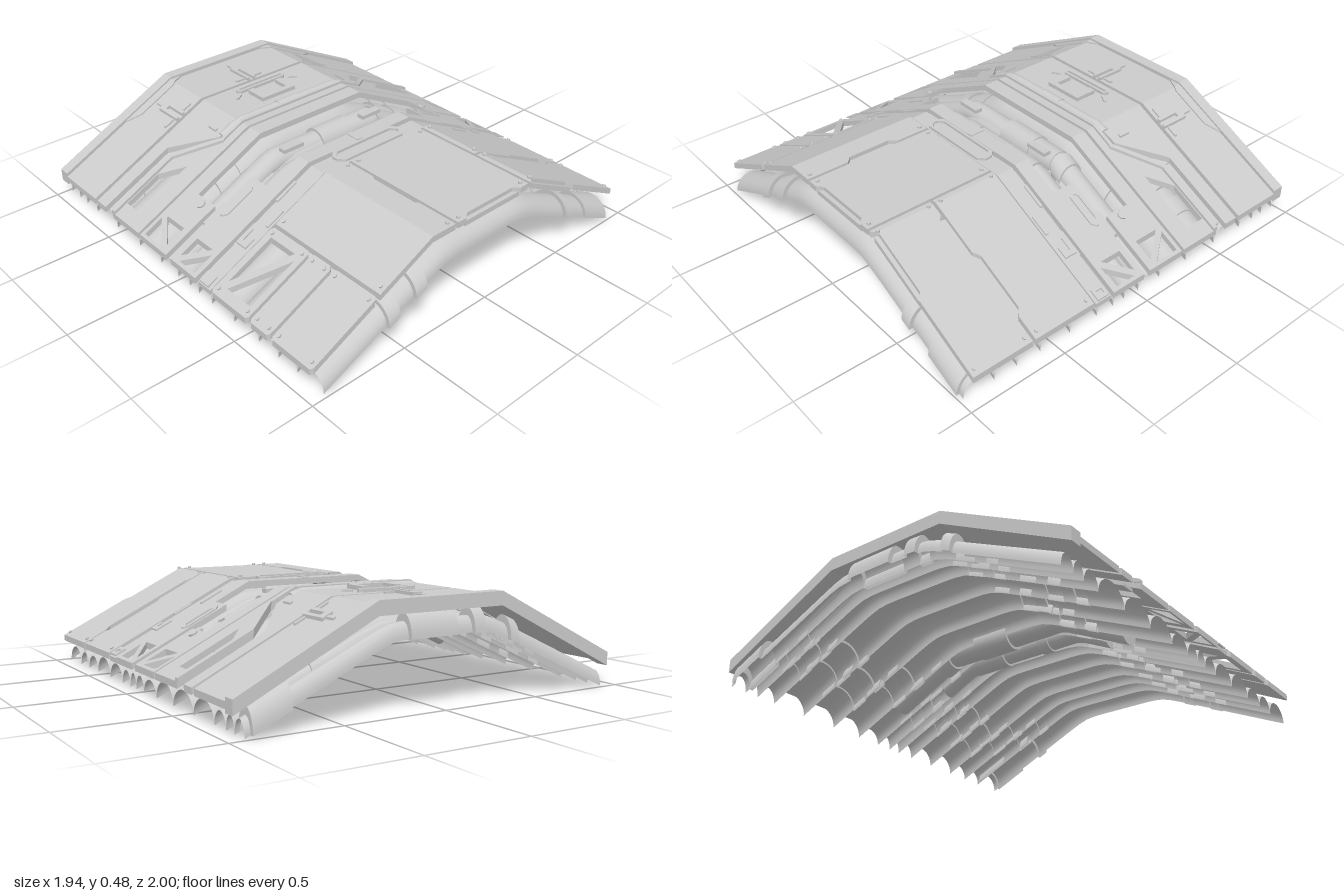
import * as THREE from 'three';
import { toCreasedNormals } from 'three/addons/utils/BufferGeometryUtils.js';

const BEND = 0.32;
const mat = new THREE.MeshStandardMaterial({ color: 0xcccccc, side: THREE.DoubleSide });

// Height of the armour surface and of the duct layer beneath it
const roofY = x => 0.455 - 0.495 * Math.max(0, Math.abs(x) - BEND);
const ductY = x => {
  const t = Math.abs(x) - 0.25;
  return 0.31 - 0.462 * (t + Math.sqrt(t * t + 0.002)) / 2;
};

const rect = (x0, x1, z0, z1) => [[x0, z0], [x1, z0], [x1, z1], [x0, z1]];
const flip = pts => pts.map(([x, z]) => [-x, z]);
const chamfer = (x0, x1, z0, z1, c = 0.012) => [
  [x0 + c, z0], [x1 - c, z0], [x1, z0 + c], [x1, z1 - c],
  [x1 - c, z1], [x0 + c, z1], [x0, z1 - c], [x0, z0 + c]];

// Keep the part of an outline where sign * (x - limit) >= 0
function clip(pts, limit, sign) {
  const out = [];
  pts.forEach((p, i) => {
    const q = pts[(i + 1) % pts.length];
    const a = sign * (p[0] - limit), b = sign * (q[0] - limit);
    if (a >= 0) out.push(p);
    if (a * b < 0) out.push([limit, p[1] + (q[1] - p[1]) * a / (a - b)]);
  });
  return out;
}

export function createModel() {
  const model = new THREE.Group();
  model.name = 'armouredRoof';

  const add = (name, geo, parent = model) => {
    const mesh = new THREE.Mesh(geo, mat);
    mesh.name = name;
    parent.add(mesh);
    return mesh;
  };

  // Plate drawn in x/z, folded over the two roof bends
  function plate(name, pts, holes = [], h0 = -0.03, h1 = 0) {
    const group = new THREE.Group();
    group.name = name;
    for (const [lo, hi] of [[-2, -BEND], [-BEND, BEND], [BEND, 2]]) {
      const part = clip(clip(pts, lo, 1), hi, -1);
      if (part.length < 3) continue;
      const toV = list => list.map(([x, z]) => new THREE.Vector2(x, -z));
      const shape = new THREE.Shape(toV(part));
      for (const h of holes) {
        const cx = h.reduce((s, p) => s + p[0], 0) / h.length;
        if (cx > lo && cx < hi) shape.holes.push(new THREE.Path(toV(h)));
      }
      const geo = new THREE.ExtrudeGeometry(shape, { depth: h1 - h0, bevelEnabled: false });
      geo.rotateX(-Math.PI / 2);
      const p = geo.attributes.position;
      for (let i = 0; i < p.count; i++) p.setY(i, p.getY(i) + h0 + roofY(p.getX(i)));
      geo.computeVertexNormals();
      add(name + 'Section', geo, group);
    }
    model.add(group);
  }
  const raised = (name, pts, h = 0.012, holes = []) => plate(name, pts, holes, -0.004, h);
  const both = (fn, name, pts, ...rest) => { fn(name, pts, ...rest); fn(name, flip(pts), ...rest); };

  // Pipe along x with stepped collars [x0, x1, scale]; half or full round
  function pipe(name, x0, x1, z, rz, ry, yAt, collars, full) {
    const st = [[x0, full ? 0 : 1], [x0, 1]];
    collars.forEach(([a, b, s]) => st.push([a, 1], [a, s], [b, s], [b, 1]));
    for (const b of [0.15, 0.2, 0.25, 0.3, 0.35]) for (const x of [-b, b]) {
      const c = collars.find(k => x > k[0] && x < k[1]);
      if (x > x0 && x < x1) st.push([x, c ? c[2] : 1]);
    }
    st.push([x1, 1], [x1, full ? 0 : 1]);
    st.sort((a, b) => a[0] - b[0]);
    const n = full ? 24 : 16, pos = [], idx = [];
    st.forEach(([x, s], i) => {
      for (let j = 0; j <= n; j++) {
        const a = (full ? 2 : 1) * Math.PI * j / n;
        pos.push(x, yAt(x) + s * ry * Math.sin(a), z + s * rz * Math.cos(a));
        if (i < st.length - 1 && j < n) {
          const k = i * (n + 1) + j, m = k + n + 1;
          idx.push(k, m, k + 1, m, m + 1, k + 1);
        }
      }
    });
    const geo = new THREE.BufferGeometry();
    geo.setAttribute('position', new THREE.Float32BufferAttribute(pos, 3));
    geo.setIndex(idx);
    add(name, toCreasedNormals(geo, 0.5));
  }

  // Layer of half-round ducts with collars, front to back
  const edges = [0.98, 0.82, 0.7, 0.57, 0.4, 0.24, 0.14, 0.07, -0.02, -0.16, -0.34, -0.54, -0.73, -0.83, -0.9, -0.98];
  let seed = 7;
  const rnd = () => (seed = (seed * 16807) % 2147483647) / 2147483647;
  const frontCollars = [[-0.59, -0.53, 1.25], [-0.44, -0.38, 1.25], [0.55, 0.6, 1.25], [0.72, 0.9, 1.2]];
  const rearCollars = [[-0.4, -0.35, 1.5], [-0.21, -0.15, 1.5], [-0.06, 0.18, 1.5], [0.73, 0.9, 1.5]];
  for (let i = 0; i < edges.length - 1; i++) {
    const z = (edges[i] + edges[i + 1]) / 2, r = (edges[i] - edges[i + 1]) / 2;
    const c1 = -0.8 + rnd() * 0.35, c2 = 0.35 + rnd() * 0.3;
    const mid = [[c1, c1 + 0.06, 1.14], [c1 + 0.12, c1 + 0.2, 1.1], [c2, c2 + 0.06, 1.14], [c2 + 0.12, c2 + 0.2, 1.1]];
    const collars = i === 0 ? frontCollars : i === edges.length - 2 ? rearCollars : mid;
    pipe('duct', -0.925, 0.925, z, r, Math.min(0.088, Math.max(r, 0.07)), ductY, collars, false);
  }

  // Small hexagonal bolts standing on the plates
  function bolt(x, z, r = 0.009) {
    const m = add('bolt', new THREE.CylinderGeometry(r, r, 0.012, 8).toNonIndexed());
    m.position.set(x, roofY(x) + 0.003, z);
    m.rotation.z = Math.abs(x) > BEND ? -Math.sign(x) * 0.46 : 0;
  }
  const cornerBolts = (x0, x1, z0, z1) => {
    for (const x of [x0 + 0.025, x1 - 0.025]) for (const z of [z0 + 0.025, z1 - 0.025]) bolt(x, z);
  };
  // Window split by a diagonal brace into two triangles
  const braced = (x0, x1, z0, z1, c = 0.025) => [
    [[x0, z0 + c], [x1 - c, z1], [x0, z1]],
    [[x0 + c, z0], [x1, z0], [x1, z1 - c]]];

  // Front field: separate rectangular panels
  plate('windowPanel', chamfer(-0.97, -0.625, 0.305, 0.555), braced(-0.925, -0.665, 0.34, 0.525));
  plate('smallPanel', chamfer(-0.97, -0.625, 0.57, 0.695));
  plate('cornerPanel', chamfer(-0.97, -0.625, 0.71, 0.96));
  plate('longPanel', [[-0.61, 0.305], [-0.185, 0.305], [-0.185, 0.47], [-0.215, 0.51],
    [-0.215, 0.72], [-0.185, 0.75], [-0.185, 0.96], [-0.61, 0.96]]);
  plate('centrePanel', [[-0.17, 0.305], [0.28, 0.305], [0.28, 0.96], [0.23, 0.96],
    [0.2, 0.935], [-0.09, 0.935], [-0.12, 0.96], [-0.17, 0.96]]);
  plate('sidePanelRear', [[0.295, 0.305], [0.965, 0.305], [0.965, 0.635], [0.86, 0.635],
    [0.83, 0.61], [0.59, 0.61], [0.56, 0.635], [0.295, 0.635]]);
  plate('sidePanelFront', [[0.295, 0.65], [0.37, 0.65], [0.4, 0.675], [0.82, 0.675], [0.85, 0.65],
    [0.965, 0.65], [0.965, 0.96], [0.63, 0.96], [0.6, 0.935], [0.33, 0.935], [0.3, 0.96], [0.295, 0.96]]);
  [[-0.97, -0.625, 0.305, 0.555], [-0.97, -0.625, 0.57, 0.695], [-0.97, -0.625, 0.71, 0.96],
    [-0.61, -0.185, 0.305, 0.96], [-0.17, 0.28, 0.305, 0.96], [0.295, 0.965, 0.305, 0.635],
    [0.295, 0.965, 0.65, 0.96]].forEach(p => cornerBolts(...p));
  // Recessed trim below the panel notches
  const trims = [[-0.23, -0.175, 0.46, 0.76], [-0.12, 0.23, 0.92, 0.955], [0.38, 0.86, 0.61, 0.68], [0.32, 0.62, 0.925, 0.955]];
  trims.forEach(t => plate('recessTrim', rect(...t), [], -0.045, -0.02));

  // Narrow joint strip with clips and a central framed slot
  plate('jointStrip', rect(-0.965, 0.965, 0.205, 0.292), [], -0.035, -0.012);
  raised('jointFrame', chamfer(-0.215, 0.205, 0.2, 0.292, 0.03), 0.008, [chamfer(-0.195, 0.185, 0.213, 0.28, 0.025)]);
  both(raised, 'jointClip', [[0.68, 0.215], [0.76, 0.215], [0.76, 0.28], [0.71, 0.28], [0.71, 0.26], [0.74, 0.26], [0.74, 0.235], [0.68, 0.235]], 0.004);
  both(raised, 'jointClip', rect(0.915, 0.965, 0.215, 0.28), 0.004, [rect(0.93, 0.95, 0.23, 0.265)]);
  both(raised, 'jointClip', rect(0.42, 0.53, 0.208, 0.222), 0.004);
  both(raised, 'jointClip', rect(0.55, 0.64, 0.272, 0.288), 0.004);

  // Twin bands around the exposed pipes
  plate('frontPipeBand', [[-0.97, 0.0], [-0.5, 0.0], [-0.5, 0.115], [0.5, 0.115], [0.5, 0.0],
    [0.97, 0.0], [0.97, 0.19], [-0.97, 0.19]],
  [...braced(-0.955, -0.84, 0.03, 0.165, 0.02), ...braced(-0.955, -0.84, 0.03, 0.165, 0.02).map(flip)]);
  plate('rearPipeBand', [[-0.97, -0.245], [0.97, -0.245], [0.97, -0.035], [0.69, -0.035], [0.69, -0.165],
    [-0.69, -0.165], [-0.69, -0.035], [-0.97, -0.035]],
  [...braced(0.84, 0.955, -0.225, -0.075, 0.02), ...braced(0.84, 0.955, -0.225, -0.075, 0.02).map(flip)]);
  both(raised, 'slotFrame', chamfer(0.53, 0.71, 0.01, 0.065, 0.02), 0.008, [chamfer(0.55, 0.69, 0.023, 0.052, 0.012)]);
  for (const s of [-1, 1]) bolt(s * 0.72, -0.105, 0.022);
  raised('bandRib', rect(-0.02, 0.01, 0.115, 0.19), 0.005);
  const pipeY = d => x => roofY(x) - d;
  pipe('rearPipe', -0.68, 0.68, -0.095, 0.06, 0.06, pipeY(0.125), [[-0.04, 0.16, 1.22], [0.16, 0.31, 1.1], [0.33, 0.39, 1.18]], true);
  pipe('frontPipe', -0.5, 0.49, 0.045, 0.052, 0.055, pipeY(0.13), [[-0.17, -0.11, 1.15], [0.1, 0.3, 1.2]], true);

  // Mid band: stepped centre plate and raised front frame
  plate('steppedPlate', [[-0.97, -0.625], [0.97, -0.625], [0.97, -0.55], [0.6, -0.55], [0.43, -0.345],
    [0.3, -0.33], [-0.3, -0.33], [-0.43, -0.345], [-0.6, -0.55], [-0.97, -0.55]]);
  const windowHole = [[0.62, -0.355], [0.72, -0.46], [0.9, -0.46], [0.9, -0.355]];
  plate('frontFrame', [[-0.97, -0.485], [-0.62, -0.485], [-0.44, -0.315], [0.44, -0.315], [0.62, -0.485],
    [0.97, -0.485], [0.97, -0.26], [-0.97, -0.26]], [windowHole, flip(windowHole)]);
  both(raised, 'frameLip', [[0.97, -0.49], [0.62, -0.49], [0.44, -0.32], [0.44, -0.295], [0.63, -0.465], [0.97, -0.465]], 0.015);
  raised('frameLip', rect(-0.44, 0.44, -0.32, -0.302), 0.012);
  both(plate, 'recessFloor', rect(0.6, 0.93, -0.55, -0.48), [], -0.05, -0.035);
  pipe('recessPipe', -0.42, 0.36, -0.345, 0.03, 0.03, pipeY(0.02), [[-0.07, 0.05, 1.15]], true);
  raised('handleBar', chamfer(-0.15, 0.15, -0.59, -0.55), 0.015, [rect(-0.135, 0.135, -0.577, -0.563)]);
  raised('handle', [[-0.11, -0.53], [-0.075, -0.53], [-0.075, -0.44], [0.065, -0.44], [0.065, -0.53],
    [0.1, -0.53], [0.1, -0.41], [-0.11, -0.41]], 0.02);
  both(raised, 'tick', [[0.16, -0.54], [0.2, -0.515], [0.19, -0.505], [0.15, -0.53]], 0.01);
  both(raised, 'tick', rect(0.405, 0.42, -0.45, -0.39), 0.01);

  // Rear field: broad plate, end beam and three latches
  plate('rearPlate', rect(-0.97, 0.97, -0.92, -0.645));
  plate('endBeam', rect(-0.97, 0.97, -0.975, -0.915), [], -0.045, 0.018);
  both(raised, 'beamWedge', [[0.25, -0.92], [0.62, -0.92], [0.54, -0.87], [0.34, -0.87]], 0.008);
  for (const x of [-0.45, 0, 0.45]) {
    raised('latch', [[x - 0.025, -0.645], [x - 0.025, -0.8], [x + 0.025, -0.8], [x + 0.025, -0.645],
      [x + 0.01, -0.645], [x + 0.01, -0.76], [x - 0.01, -0.76], [x - 0.01, -0.645]], 0.015);
    raised('latchPin', rect(x - 0.007, x + 0.007, -0.85, -0.8), 0.01);
    for (const s of [-1, 1]) raised('latchFoot', rect(x + s * 0.055 - 0.025, x + s * 0.055 + 0.025, -0.678, -0.664), 0.01);
  }
  // Lower ties bridging the gaps between bands
  for (const x of [-0.7, -0.25, 0.25, 0.7])
    for (const z of [-0.635, -0.253, -0.018, 0.198]) plate('gapTie', rect(x - 0.06, x + 0.06, z - 0.02, z + 0.02), [], -0.045, -0.025);

  return model;
}
